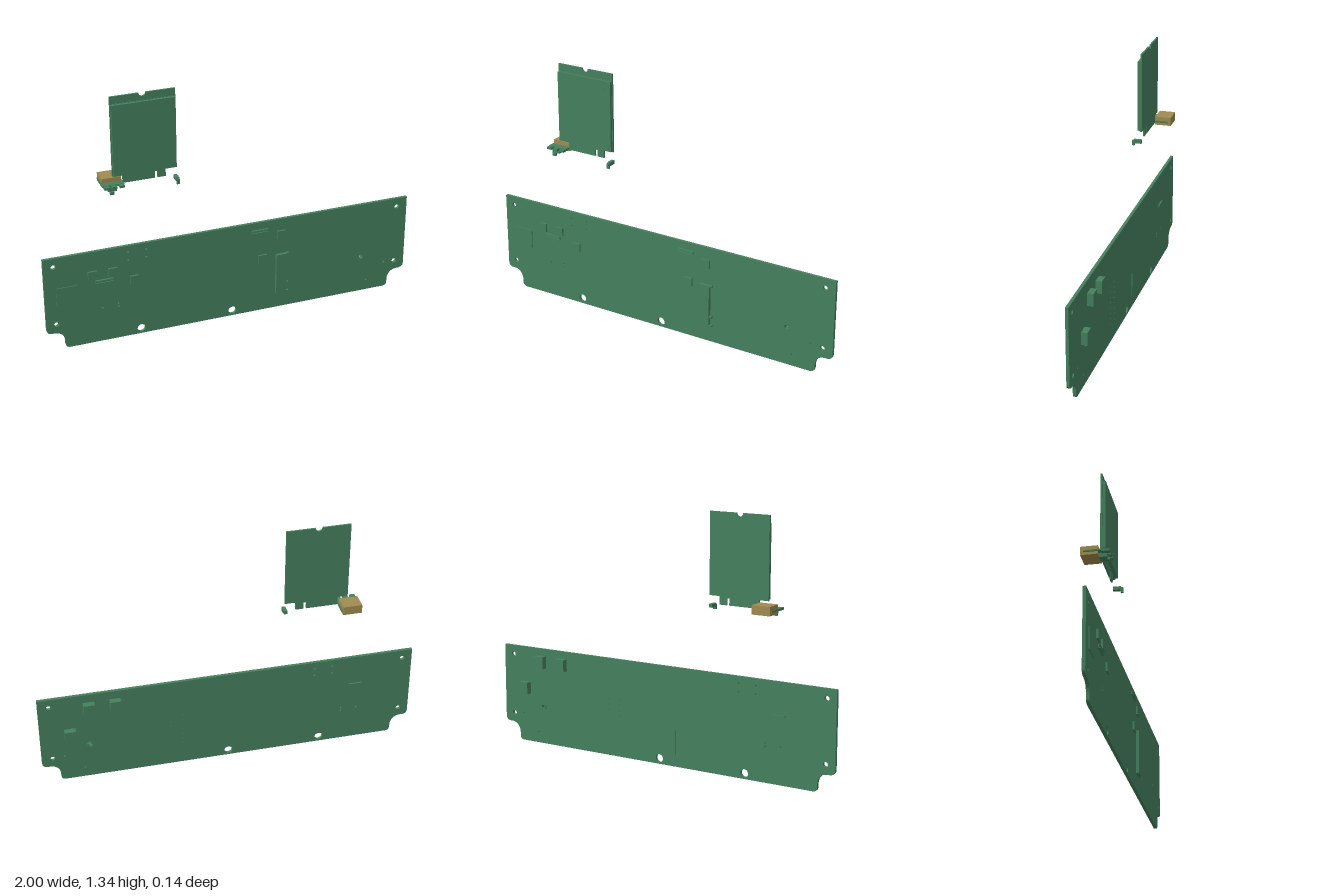
import * as THREE from 'three';

const green = new THREE.MeshStandardMaterial({ color: 0x45805e });
const gold = new THREE.MeshStandardMaterial({ color: 0xa08c50 });

// Box given by its minimum and maximum corners
function box(parent, name, x0, x1, y0, y1, z0, z1, material = green) {
  const mesh = new THREE.Mesh(new THREE.BoxGeometry(x1 - x0, y1 - y0, z1 - z0), material);
  mesh.position.set((x0 + x1) / 2, (y0 + y1) / 2, (z0 + z1) / 2);
  mesh.name = name;
  parent.add(mesh);
  return mesh;
}

// Flat plate cut from a shape, spanning z0 to z1
function plate(parent, name, shape, z0, z1) {
  const geometry = new THREE.ExtrudeGeometry(shape, { depth: z1 - z0, bevelEnabled: false, curveSegments: 10 });
  geometry.translate(0, 0, z0);
  const mesh = new THREE.Mesh(geometry, green);
  mesh.name = name;
  parent.add(mesh);
}

function addHole(shape, x, y, r) {
  const hole = new THREE.Path();
  hole.absarc(x, y, r, 0, Math.PI * 2, true);
  shape.holes.push(hole);
}

function mainBoard() {
  const group = new THREE.Group();
  group.name = 'mainBoard';

  // Outline with stepped, rounded lower corners
  const s = new THREE.Shape();
  s.moveTo(-0.88, 0);
  s.lineTo(0.88, 0);
  s.quadraticCurveTo(0.905, 0, 0.905, 0.025);
  s.lineTo(0.905, 0.04);
  s.quadraticCurveTo(0.91, 0.095, 0.96, 0.097);
  s.lineTo(0.975, 0.097);
  s.quadraticCurveTo(1, 0.1, 1, 0.125);
  s.lineTo(1, 0.527);
  s.lineTo(-1, 0.527);
  s.lineTo(-1, 0.125);
  s.quadraticCurveTo(-1, 0.1, -0.975, 0.097);
  s.lineTo(-0.96, 0.097);
  s.quadraticCurveTo(-0.91, 0.095, -0.905, 0.04);
  s.lineTo(-0.905, 0.025);
  s.quadraticCurveTo(-0.905, 0, -0.88, 0);

  // Mounting holes, then small pin holes
  for (const x of [-0.947, 0.943]) for (const y of [0.147, 0.478]) addHole(s, x, y, 0.013);
  for (const x of [-0.5, 0.003]) addHole(s, x, 0.03, 0.022);
  addHole(s, 0.742, 0.208, 0.011);
  for (const x of [-0.559, -0.463]) for (const y of [0.446, 0.49]) addHole(s, x, y, 0.005);
  for (const [x, y] of [[0.778, 0.06], [0.88, 0.152], [-0.703, 0.195], [-0.618, 0.205], [-0.618, 0.186]])
    addHole(s, x, y, 0.005);
  plate(group, 'boardPlate', s, 0.014, 0.03);

  // Square chips on the front
  for (const [x, y] of [[-0.75, 0.396], [-0.642, 0.396], [-0.53, 0.33], [0.273, 0.438], [0.171, 0.312]])
    box(group, 'chip', x - 0.023, x + 0.023, y - 0.023, y + 0.023, 0.03, 0.04);
  box(group, 'largeChip', -0.94, -0.83, 0.245, 0.355, 0.03, 0.035);

  // Flat cable connectors with raised rims and rear pins
  for (const [x, y] of [[-0.687, 0.353], [0.155, 0.478]]) {
    box(group, 'connectorBase', x - 0.047, x + 0.047, y - 0.009, y + 0.009, 0.03, 0.036);
    for (const d of [-0.007, 0.007])
      box(group, 'connectorRim', x - 0.043, x + 0.043, y + d - 0.002, y + d + 0.002, 0.036, 0.041);
  }
  box(group, 'rearConnector', -0.725, -0.655, 0.35, 0.36, 0.006, 0.014);

  // Long card slot with end latches and soldered pins behind
  box(group, 'cardSlot', 0.245, 0.302, 0.09, 0.323, 0.03, 0.047);
  for (const y of [0.088, 0.14, 0.315]) box(group, 'slotLatch', 0.298, 0.316, y, y + 0.01, 0.03, 0.044);
  for (const x of [0.25, 0.312])
    for (let i = 0; i < 8; i++)
      box(group, 'slotPin', x - 0.002, x + 0.002, 0.098 + i * 0.03, 0.102 + i * 0.03, 0.011, 0.014);

  // Hollow standoff behind its hole
  const ring = new THREE.Shape();
  ring.absarc(0.742, 0.208, 0.017, 0, Math.PI * 2, false);
  addHole(ring, 0.742, 0.208, 0.01);
  plate(group, 'standoff', ring, 0.006, 0.014);
  box(group, 'rearStrip', -0.098, -0.094, 0.065, 0.195, 0.011, 0.014);

  // Cubic modules standing clear of the back
  for (const [x, y] of [[0.845, 0.308], [0.74, 0.461], [0.603, 0.461]])
    box(group, 'rearBlock', x - 0.029, x + 0.029, y - 0.033, y + 0.033, -0.037, -0.005);
  return group;
}

function plugInCard() {
  const group = new THREE.Group();
  group.name = 'plugInCard';

  // Card with top notch and two edge-contact tabs
  const s = new THREE.Shape();
  s.moveTo(-0.623, 0.922);
  for (const [x, y] of [[-0.57, 0.922], [-0.57, 0.879], [-0.404, 0.879], [-0.404, 0.915], [-0.39, 0.915],
    [-0.39, 0.879], [-0.348, 0.879], [-0.348, 0.922], [-0.291, 0.922], [-0.291, 1.343], [-0.44, 1.343]]) s.lineTo(x, y);
  s.absarc(-0.458, 1.343, 0.018, 0, Math.PI, true);
  s.lineTo(-0.623, 1.343);
  plate(group, 'card', s, 0.014, 0.023);

  // Shield can with a lip round its base
  box(group, 'shieldLip', -0.621, -0.293, 0.925, 1.305, 0.023, 0.026);
  box(group, 'shieldCan', -0.619, -0.295, 0.927, 1.303, 0.026, 0.039);

  // Small raised contacts on the shield
  for (const [x, y] of [[-0.335, 1.26], [-0.31, 0.945], [-0.54, 1.0], [-0.42, 1.0]])
    box(group, 'shieldContact', x - 0.003, x + 0.003, y - 0.003, y + 0.003, 0.039, 0.04);
  return group;
}

function socket() {
  const group = new THREE.Group();
  group.name = 'socket';
  box(group, 'socketBody', -0.675, -0.575, 0.866, 0.912, -0.072, 0.014, gold);

  // Thin plate whose edges show at the sides of the body
  box(group, 'socketPlate', -0.68, -0.57, 0.881, 0.89, -0.058, 0.05);

  // Front prongs, one with a downward hook
  for (const x of [-0.664, -0.625, -0.586])
    box(group, 'prong', x - 0.013, x + 0.013, 0.877, 0.889, 0.03, 0.072);
  box(group, 'hookBlock', -0.655, -0.61, 0.858, 0.881, 0.016, 0.056);
  box(group, 'hookTip', -0.648, -0.627, 0.845, 0.86, 0.056, 0.067);
  return group;
}

function clip() {
  const group = new THREE.Group();
  group.name = 'clip';
  box(group, 'clipArm', -0.306, -0.288, 0.858, 0.877, 0.016, 0.056);
  box(group, 'clipTip', -0.304, -0.29, 0.845, 0.872, 0.054, 0.067);
  return group;
}

export function createModel() {
  const model = new THREE.Group();
  model.name = 'circuitBoards';
  model.add(mainBoard(), plugInCard(), socket(), clip());
  return model;
}
